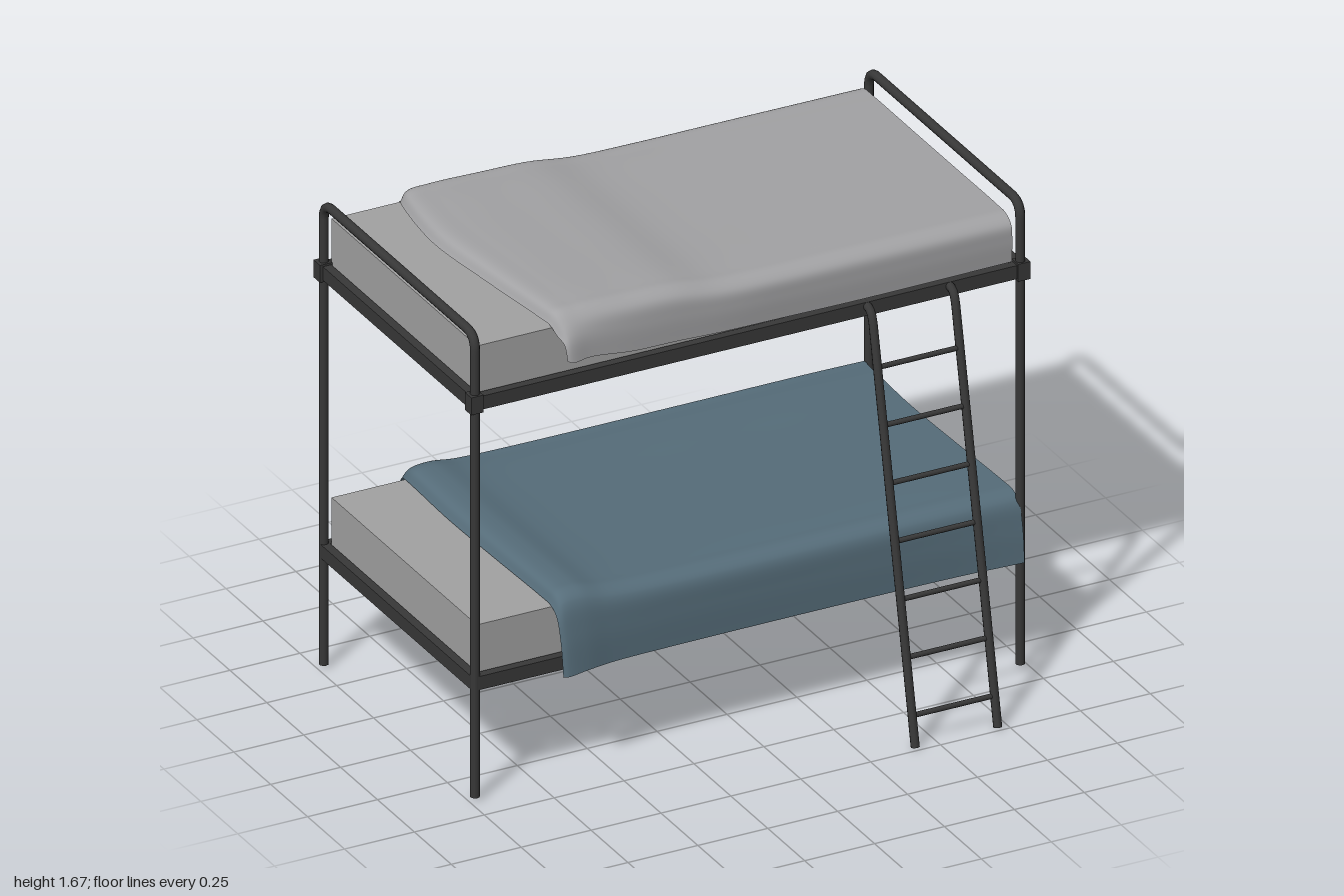
import * as THREE from 'three';

const mat = (name, color, side = THREE.FrontSide) => {
  const m = new THREE.MeshStandardMaterial({ color, side });
  m.name = name;
  return m;
};

export function createModel() {
  const steel = mat('dark steel', 0x383838);
  const foam = mat('mattress grey', 0xa3a3a3, THREE.DoubleSide);
  const greyCloth = mat('grey cloth', 0xa3a3a5, THREE.DoubleSide);
  const blueCloth = mat('blue cloth', 0x566d7a, THREE.DoubleSide);

  const model = new THREE.Group();
  model.name = 'bunkBed';
  const V = (x, y, z) => new THREE.Vector3(x, y, z);
  const add = (name, geometry, material) => {
    const mesh = new THREE.Mesh(geometry, material);
    mesh.name = name;
    model.add(mesh);
    return mesh;
  };
  const box = (name, w, h, d, x, y, z, material = steel) =>
    add(name, new THREE.BoxGeometry(w, h, d), material).position.set(x, y, z);
  const rod = (name, r, len, x, y, z) => {
    const m = add(name, new THREE.CylinderGeometry(r, r, len, 10), steel);
    m.position.set(x, y, z);
    return m;
  };

  const ZF = 0.39, ZB = -0.635, ZM = (ZF + ZB) / 2, DEPTH = ZF - ZB, PX = 0.975;

  // End hoops: two posts joined by a rounded top bar
  const hoop = (x) => {
    const path = new THREE.CurvePath();
    const r = 0.055, top = 1.655;
    path.add(new THREE.LineCurve3(V(x, 0.01, ZF), V(x, top - r, ZF)));
    path.add(new THREE.QuadraticBezierCurve3(V(x, top - r, ZF), V(x, top, ZF), V(x, top, ZF - r)));
    path.add(new THREE.LineCurve3(V(x, top, ZF - r), V(x, top, ZB + r)));
    path.add(new THREE.QuadraticBezierCurve3(V(x, top, ZB + r), V(x, top, ZB), V(x, top - r, ZB)));
    path.add(new THREE.LineCurve3(V(x, top - r, ZB), V(x, 0.01, ZB)));
    return new THREE.TubeGeometry(path, 220, 0.016, 10);
  };
  for (const s of [-1, 1]) {
    add('endHoop', hoop(s * PX), steel);
    for (const z of [ZF, ZB]) {
      box('cornerSleeve', 0.044, 0.062, 0.044, s * 0.978, 1.416, z);
      const cap = add('postFoot', new THREE.CircleGeometry(0.016, 10), steel);
      cap.rotation.x = Math.PI / 2;
      cap.position.set(s * PX, 0.01, z);
    }
  }

  // Bed frames: side rails, end rails and one cross bar each
  for (const y of [0.418, 1.416]) {
    for (const z of [ZF, ZB]) box('sideRail', 2 * PX, 0.048, 0.03, 0, y, z);
    for (const s of [-1, 1]) box('endRail', 0.03, 0.048, DEPTH, s * PX, y, ZM);
    box('crossBar', 0.03, 0.03, DEPTH, -0.69, y - 0.006, ZM);
  }

  // Mattresses; the lower one is a shell open underneath
  box('upperMattress', 1.9, 0.17, 0.985, -0.005, 1.515, -0.1275, foam);
  const shell = new THREE.BoxGeometry(1.9, 0.17, 0.985);
  const index = Array.from(shell.index.array);
  index.splice(18, 6);
  shell.setIndex(index);
  shell.clearGroups();
  add('lowerMattress', shell, foam).position.set(-0.005, 0.52, -0.1275);

  // Leaning ladder with hooked tops
  const ladderZ = (y) => 0.73 - y * 0.2065;
  for (const x of [0.42, 0.715]) {
    const path = new THREE.CurvePath();
    const low = V(x, 0.003, ladderZ(0)), bend = V(x, 1.37, ladderZ(1.37)), hook = V(x, 1.425, 0.415);
    path.add(new THREE.LineCurve3(low, bend));
    path.add(new THREE.QuadraticBezierCurve3(bend, V(x, 1.42, 0.437), hook));
    path.add(new THREE.LineCurve3(hook, V(x, 1.427, 0.385)));
    add('ladderRail', new THREE.TubeGeometry(path, 100, 0.0145, 10), steel);
    const cap = add('ladderFoot', new THREE.CircleGeometry(0.0145, 10), steel);
    cap.rotation.x = Math.PI / 2 + 0.2;
    cap.position.copy(low);
  }
  for (let i = 0; i < 7; i++) {
    const y = 0.105 + i * 0.189;
    rod('ladderRung', 0.009, 0.295, 0.5675, y, ladderZ(y)).rotation.z = Math.PI / 2;
  }

  // Blanket: cross-sections lofted along x.
  // Station: [x at hems, x at middle, top y, front hem y, front hem z, back hem y, back hem z]
  const blanket = (name, stations, material) => {
    const sections = stations.map(([xh, xm, top, fy, fz, by, bz]) => {
      const mix = (t) => xh + (xm - xh) * t;
      const fMid = (fy + top) / 2, bMid = (by + top) / 2;
      return [
        V(xh, fy, fz), V(xh, fMid, (fz + 0.405) / 2), V(mix(0.1), top - 0.03, 0.396),
        V(mix(0.2), top - 0.004, 0.36), V(mix(0.3), top, 0.3), V(mix(0.7), top, 0),
        V(mix(1), top, -0.3), V(mix(0.7), top, -0.54), V(mix(0.5), top - 0.004, -0.605),
        V(mix(0.2), top - (top - by) * 0.2, -0.642), V(xh, bMid, (bz - 0.65) / 2), V(xh, by, bz),
      ];
    });
    const NU = 60, NV = 66, pos = [], idx = [];
    const lines = sections[0].map((_, j) => new THREE.CatmullRomCurve3(sections.map((s) => s[j])));
    for (let i = 0; i <= NU; i++) {
      const curve = new THREE.CatmullRomCurve3(lines.map((l) => l.getPoint(i / NU)));
      for (let j = 0; j <= NV; j++) {
        pos.push(...curve.getPoint(j / NV).toArray());
        if (i < NU && j < NV) {
          const a = i * (NV + 1) + j, b = a + NV + 1;
          idx.push(a, b, a + 1, b, b + 1, a + 1);
        }
      }
    }
    const g = new THREE.BufferGeometry();
    g.setAttribute('position', new THREE.Float32BufferAttribute(pos, 3));
    g.setIndex(idx);
    g.computeVertexNormals();
    add(name, g, material);
  };

  blanket('upperBlanket', [
    [-0.675, -0.76, 1.612, 1.515, 0.45, 1.5, -0.74],
    [-0.655, -0.735, 1.645, 1.505, 0.45, 1.49, -0.725],
    [-0.58, -0.64, 1.653, 1.5, 0.43, 1.48, -0.69],
    [-0.42, -0.44, 1.65, 1.475, 0.415, 1.47, -0.69],
    [-0.26, -0.26, 1.645, 1.468, 0.408, 1.465, -0.68],
    [-0.1, -0.1, 1.624, 1.46, 0.405, 1.465, -0.68],
    [0.12, 0.12, 1.618, 1.455, 0.4, 1.46, -0.655],
    [0.4, 0.4, 1.617, 1.452, 0.4, 1.46, -0.67],
    [0.94, 0.94, 1.614, 1.455, 0.4, 1.46, -0.66],
  ], greyCloth);

  blanket('lowerBlanket', [
    [-0.685, -0.705, 0.612, 0.385, 0.44, 0.55, -0.68],
    [-0.665, -0.68, 0.645, 0.385, 0.445, 0.55, -0.68],
    [-0.6, -0.61, 0.654, 0.39, 0.44, 0.565, -0.67],
    [-0.5, -0.5, 0.635, 0.39, 0.425, 0.585, -0.66],
    [-0.3, -0.3, 0.626, 0.388, 0.415, 0.595, -0.65],
    [0.3, 0.3, 0.624, 0.388, 0.412, 0.595, -0.65],
    [0.75, 0.75, 0.624, 0.388, 0.418, 0.595, -0.65],
    [0.97, 0.945, 0.622, 0.388, 0.43, 0.59, -0.65],
  ], blueCloth);

  return model;
}
